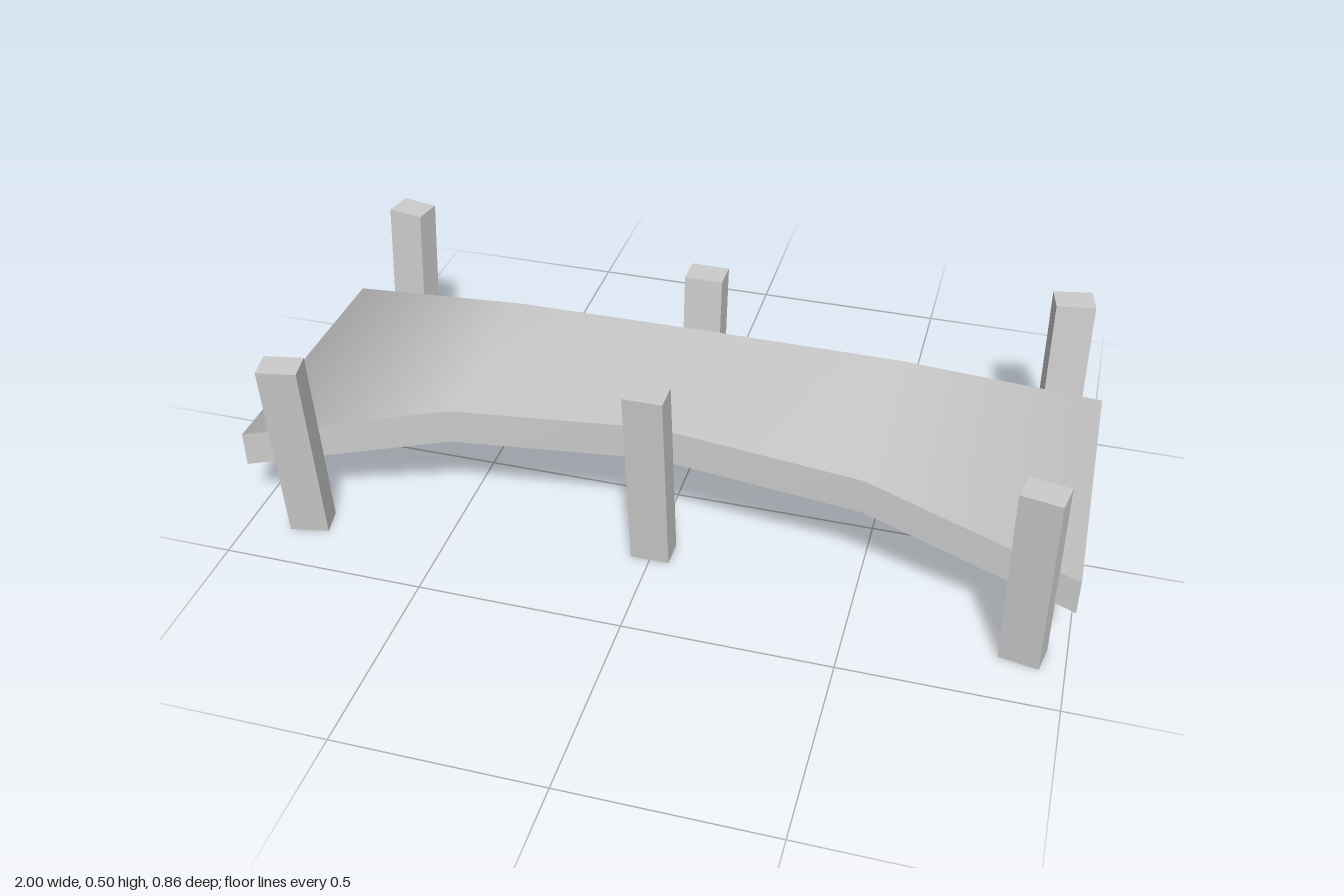
import * as THREE from 'three';
import { toCreasedNormals } from 'three/addons/utils/BufferGeometryUtils.js';

const material = new THREE.MeshStandardMaterial({ color: 0xcccccc });

// Arched, waisted deck: a box with five stations bent by rule
function deckGeometry() {
  const thickness = 0.09;
  const topHeight = [0.244, 0.34, 0.365, 0.34, 0.244];
  const halfWidth = [0.35, 0.249, 0.215, 0.249, 0.35];
  const geometry = new THREE.BoxGeometry(2, 1, 2, 4, 1, 1);
  const p = geometry.attributes.position;
  for (let i = 0; i < p.count; i++) {
    const station = Math.round((p.getX(i) + 1) * 2);
    const y = topHeight[station] - (p.getY(i) > 0 ? 0 : thickness);
    p.setXYZ(i, p.getX(i), y, p.getZ(i) * halfWidth[station]);
  }
  // Smooth over the arch and top end edges, sharp elsewhere
  return toCreasedNormals(geometry, THREE.MathUtils.degToRad(85));
}

// Post leaning outward along its local +z, with level top and foot
function postGeometry() {
  const height = 0.5, lean = 0.09;
  const geometry = new THREE.BoxGeometry(0.095, height, 0.07);
  const p = geometry.attributes.position;
  for (let i = 0; i < p.count; i++) p.setZ(i, p.getZ(i) + p.getY(i) * lean);
  geometry.translate(0, height / 2, 0);
  return geometry.toNonIndexed();
}

export function createModel() {
  const group = new THREE.Group();

  const deck = new THREE.Mesh(deckGeometry(), material);
  deck.name = 'deck';
  group.add(deck);

  // Three pairs of posts, turned to follow the deck's edge
  const geometry = postGeometry();
  geometry.computeVertexNormals();
  const pairs = [
    { name: 'right', x: -0.845, z: 0.365, turn: 0.19 },
    { name: 'middle', x: 0, z: 0.248, turn: 0 },
    { name: 'left', x: 0.898, z: 0.365, turn: -0.19 },
  ];
  for (const { name, x, z, turn } of pairs) {
    for (const side of [1, -1]) {
      const post = new THREE.Mesh(geometry, material);
      post.name = `${name}${side > 0 ? 'Front' : 'Back'}Post`;
      post.position.set(x, 0, side * z);
      post.rotation.y = side > 0 ? turn : Math.PI - turn;
      group.add(post);
    }
  }
  return group;
}
